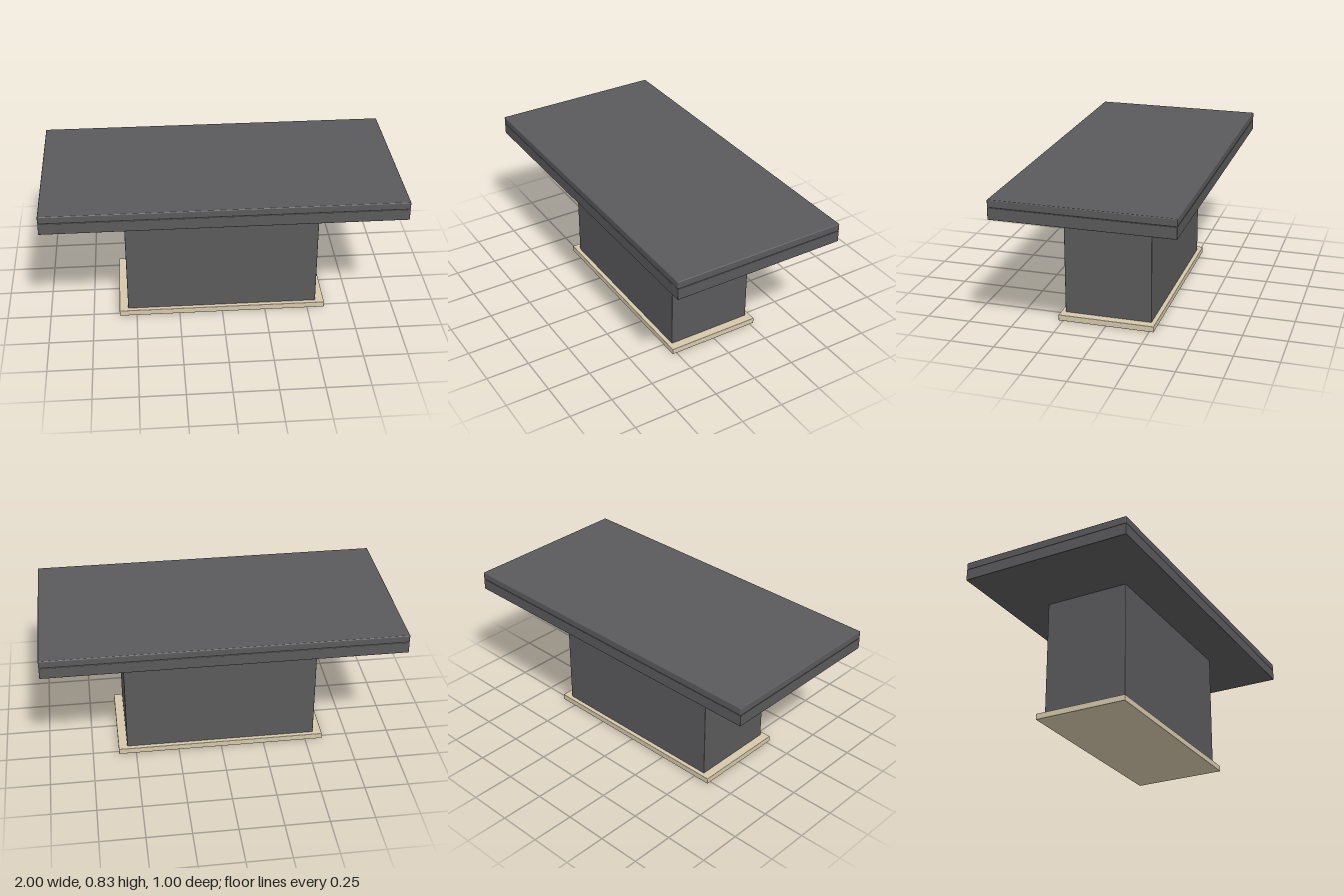
import * as THREE from 'three';
import { RoundedBoxGeometry } from 'three/addons/geometries/RoundedBoxGeometry.js';

export function createModel() {
  const model = new THREE.Group();
  model.name = 'pedestalTable';
  const dark = new THREE.MeshStandardMaterial({ color: 0x5a5a5c });
  const beige = new THREE.MeshStandardMaterial({ color: 0xd6c8aa });

  // Box with softly eased edges, spanning y0 to y1
  function slab(name, width, depth, y0, y1, radius, material) {
    const geometry = new RoundedBoxGeometry(width, y1 - y0, depth, 2, radius);
    const mesh = new THREE.Mesh(geometry, material);
    mesh.name = name;
    mesh.position.y = (y0 + y1) / 2;
    model.add(mesh);
  }

  // Floor plate and the solid pedestal standing on it
  slab('basePlate', 1.2, 0.55, 0, 0.034, 0.002, beige);
  slab('pedestal', 1.1, 0.5, 0.02, 0.735, 0.003, dark);

  // Two-layer top: lower apron board and the table top, parted by a fine seam
  slab('apron', 2, 1, 0.725, 0.791, 0.003, dark);
  slab('tableTop', 2, 1, 0.791, 0.834, 0.005, dark);

  return model;
}
